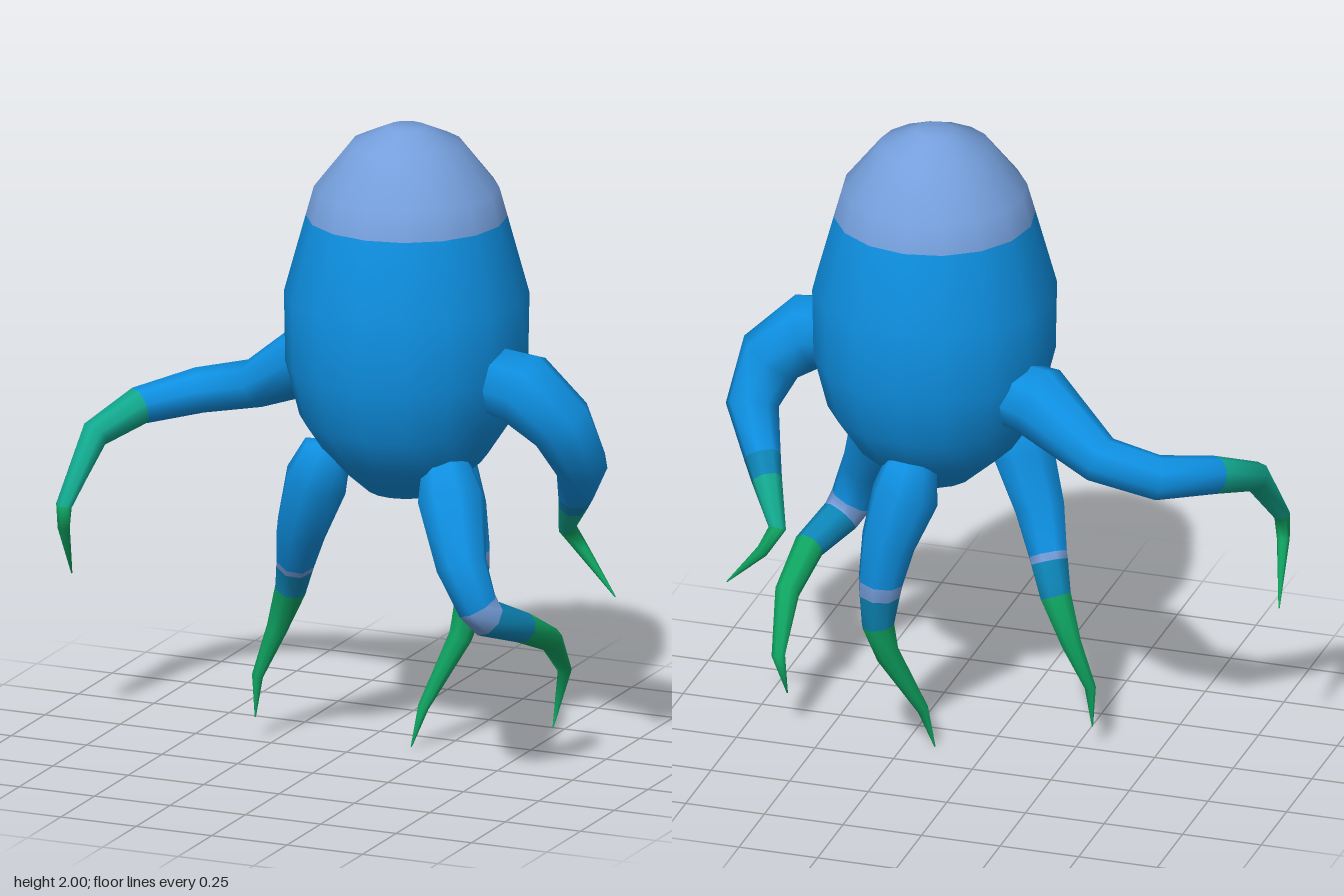
import * as THREE from 'three';

const mat = (name, color) => {
  const m = new THREE.MeshStandardMaterial({ color, side: THREE.DoubleSide });
  m.name = name;
  return m;
};

// Lofts round rings [x, y, z, radius, colour] along a path; a colour index
// holds from its ring to the next one that gives another.
function loft(name, rings, sides, materials) {
  const pts = rings.map(r => new THREE.Vector3(r[0], r[1], r[2]));
  const pos = [], index = [];
  const geo = new THREE.BufferGeometry();
  const normal = new THREE.Vector3(0, 0, 1);
  let colour = 0;
  pts.forEach((p, i) => {
    const into = p.clone().sub(pts[Math.max(i - 1, 0)]).normalize();
    const out = pts[Math.min(i + 1, pts.length - 1)].clone().sub(p).normalize();
    const t = into.add(out).normalize();
    // carry the previous frame along so the tube does not twist
    normal.addScaledVector(t, -normal.dot(t)).normalize();
    const b = new THREE.Vector3().crossVectors(t, normal);
    for (let j = 0; j < sides; j++) {
      const a = (j / sides) * Math.PI * 2;
      const v = p.clone()
        .addScaledVector(normal, rings[i][3] * Math.cos(a))
        .addScaledVector(b, rings[i][3] * Math.sin(a));
      pos.push(v.x, v.y, v.z);
    }
    if (i === pts.length - 1) return;
    colour = rings[i][4] ?? colour;
    geo.addGroup(index.length, sides * 6, colour);
    for (let j = 0; j < sides; j++) {
      const a = i * sides + j, c = i * sides + (j + 1) % sides;
      index.push(a, c, a + sides, c, c + sides, a + sides);
    }
  });
  geo.setAttribute('position', new THREE.Float32BufferAttribute(pos, 3));
  geo.setIndex(index);
  geo.computeVertexNormals();
  const mesh = new THREE.Mesh(geo, materials);
  mesh.name = name;
  return mesh;
}

export function createModel() {
  const group = new THREE.Group();
  group.name = 'tentacledCreature';
  const materials = [
    mat('skinBlue', 0x0e90e2),
    mat('paleBlue', 0x759fdc),
    mat('deepTealBlue', 0x0d86b8),
    mat('seaTeal', 0x12a98f),
    mat('tipGreen', 0x0fa562),
  ];
  const BLUE = 0, PALE = 1, DEEP = 2, TEAL = 3, GREEN = 4;

  // Egg-shaped body with a pale crown
  const profile = [
    [0.002, 0.845, BLUE], [0.12, 0.86], [0.245, 0.97], [0.325, 1.09], [0.368, 1.26],
    [0.372, 1.48], [0.306, 1.72, PALE], [0.281, 1.81], [0.17, 1.95], [0.06, 2.0], [0.002, 2.0],
  ];
  group.add(loft('body', profile.map(([r, y, c]) => [0.2, y, 0, r, c]), 16, materials));

  // Long arm reaching out to the right
  group.add(loft('rightArm', [
    [0.02, 1.22, -0.08, 0.01, BLUE], [-0.03, 1.22, -0.1, 0.1], [-0.17, 1.2, -0.12, 0.115],
    [-0.39, 1.07, -0.195, 0.075], [-0.57, 1.03, -0.185, 0.07], [-0.71, 1.0, -0.05, 0.058, TEAL],
    [-0.79, 0.94, 0.1, 0.046], [-0.825, 0.75, 0.25, 0.026, GREEN], [-0.835, 0.68, 0.23, 0.02],
    [-0.857, 0.5, 0.12, 0.002],
  ], 8, materials));

  // Curled arm on the left
  group.add(loft('leftArm', [
    [0.5, 1.25, 0.06, 0.01, BLUE], [0.54, 1.25, 0.065, 0.11], [0.62, 1.24, 0.07, 0.12],
    [0.74, 1.14, 0.06, 0.103], [0.78, 1.0, 0.0, 0.082], [0.715, 0.88, -0.1, 0.057, DEEP],
    [0.685, 0.83, -0.15, 0.047, TEAL], [0.62, 0.72, -0.25, 0.028, GREEN],
    [0.66, 0.65, -0.275, 0.02], [0.78, 0.52, -0.25, 0.002],
  ], 8, materials));

  // Front right leg
  group.add(loft('frontRightLeg', [
    [0.02, 1.02, 0.13, 0.01, BLUE], [0.0, 0.99, 0.14, 0.08], [-0.03, 0.9, 0.155, 0.1],
    [-0.1, 0.73, 0.11, 0.08], [-0.145, 0.61, 0.05, 0.062, PALE], [-0.153, 0.59, 0.04, 0.06, DEEP],
    [-0.185, 0.5, 0.0, 0.05, GREEN], [-0.24, 0.36, -0.02, 0.033], [-0.295, 0.21, 0.0, 0.018],
    [-0.302, 0.08, 0.0, 0.002],
  ], 8, materials));

  // Front left leg, folded back under the body
  group.add(loft('frontLeftLeg', [
    [0.37, 1.0, 0.11, 0.01, BLUE], [0.385, 0.97, 0.12, 0.08], [0.42, 0.89, 0.16, 0.105],
    [0.5, 0.72, 0.265, 0.08], [0.55, 0.6, 0.26, 0.066, PALE], [0.575, 0.555, 0.235, 0.06, DEEP],
    [0.635, 0.5, 0.11, 0.048, GREEN], [0.65, 0.42, -0.06, 0.038], [0.628, 0.28, -0.215, 0.022],
    [0.625, 0.12, -0.135, 0.002],
  ], 8, materials));

  // Back leg
  group.add(loft('backLeg', [
    [0.2, 1.02, -0.2, 0.01, BLUE], [0.205, 0.98, -0.21, 0.08], [0.22, 0.88, -0.225, 0.105],
    [0.265, 0.73, -0.255, 0.085], [0.287, 0.6, -0.262, 0.07, PALE], [0.292, 0.555, -0.26, 0.065, DEEP],
    [0.3, 0.45, -0.25, 0.052, GREEN], [0.275, 0.34, -0.23, 0.038], [0.19, 0.13, -0.145, 0.018],
    [0.157, 0.005, -0.13, 0.002],
  ], 8, materials));

  return group;
}
